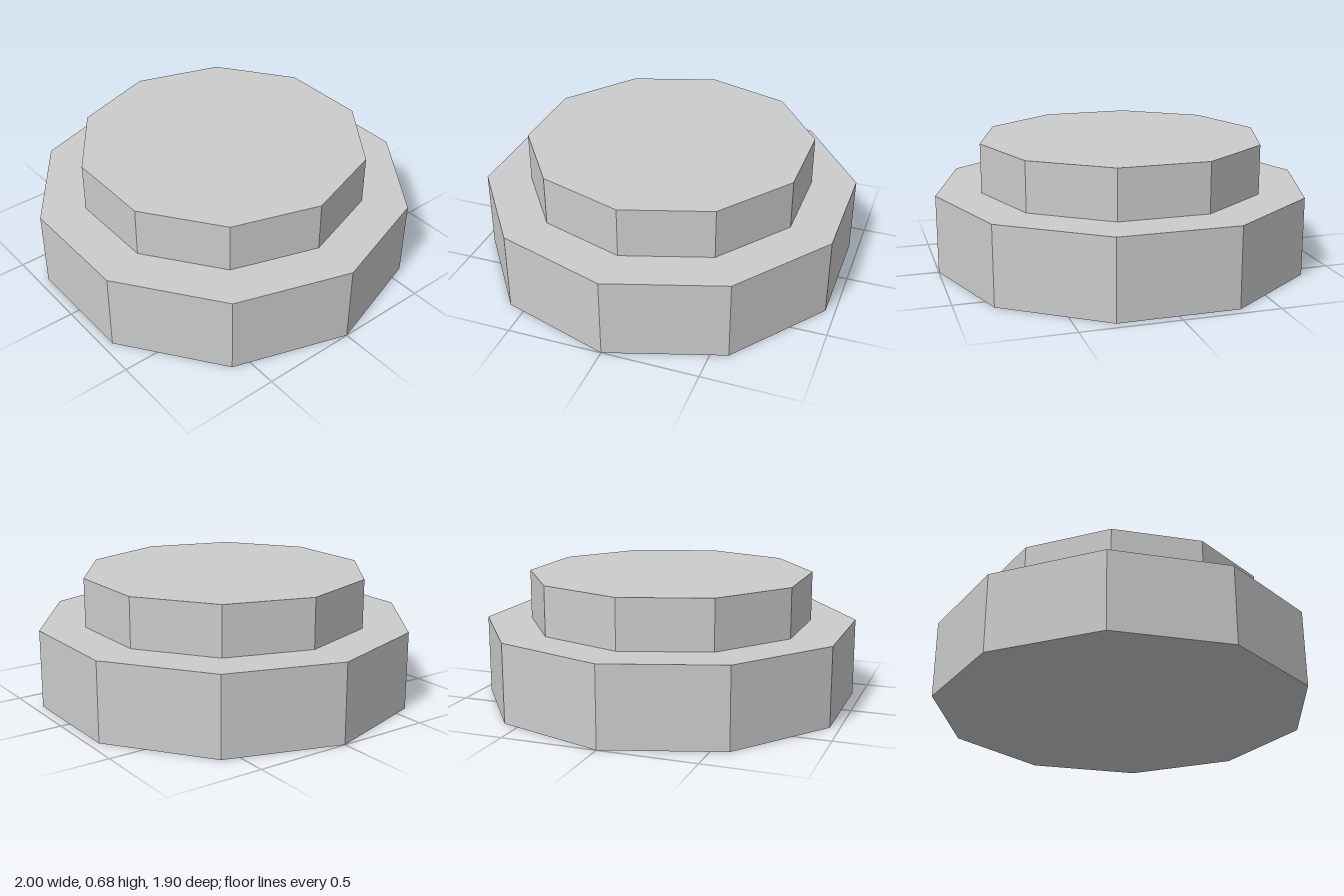
import * as THREE from 'three';

const SIDES = 10;

// One ten-sided tier with corners on the x axis
function tier(name, radius, bottom, top, material) {
  const geometry = new THREE.CylinderGeometry(radius, radius, top - bottom, SIDES, 1, false, Math.PI / 2);
  const mesh = new THREE.Mesh(geometry, material);
  mesh.name = name;
  mesh.position.y = (bottom + top) / 2;
  return mesh;
}

export function createModel() {
  const group = new THREE.Group();
  group.name = 'steppedPedestal';
  const grey = new THREE.MeshStandardMaterial({ color: 0xcccccc, flatShading: true });

  group.add(
    tier('base', 1, 0, 0.415, grey), // wide lower tier
    tier('upperTier', 0.76, 0.415, 0.676, grey) // narrower tier on top
  );
  return group;
}
